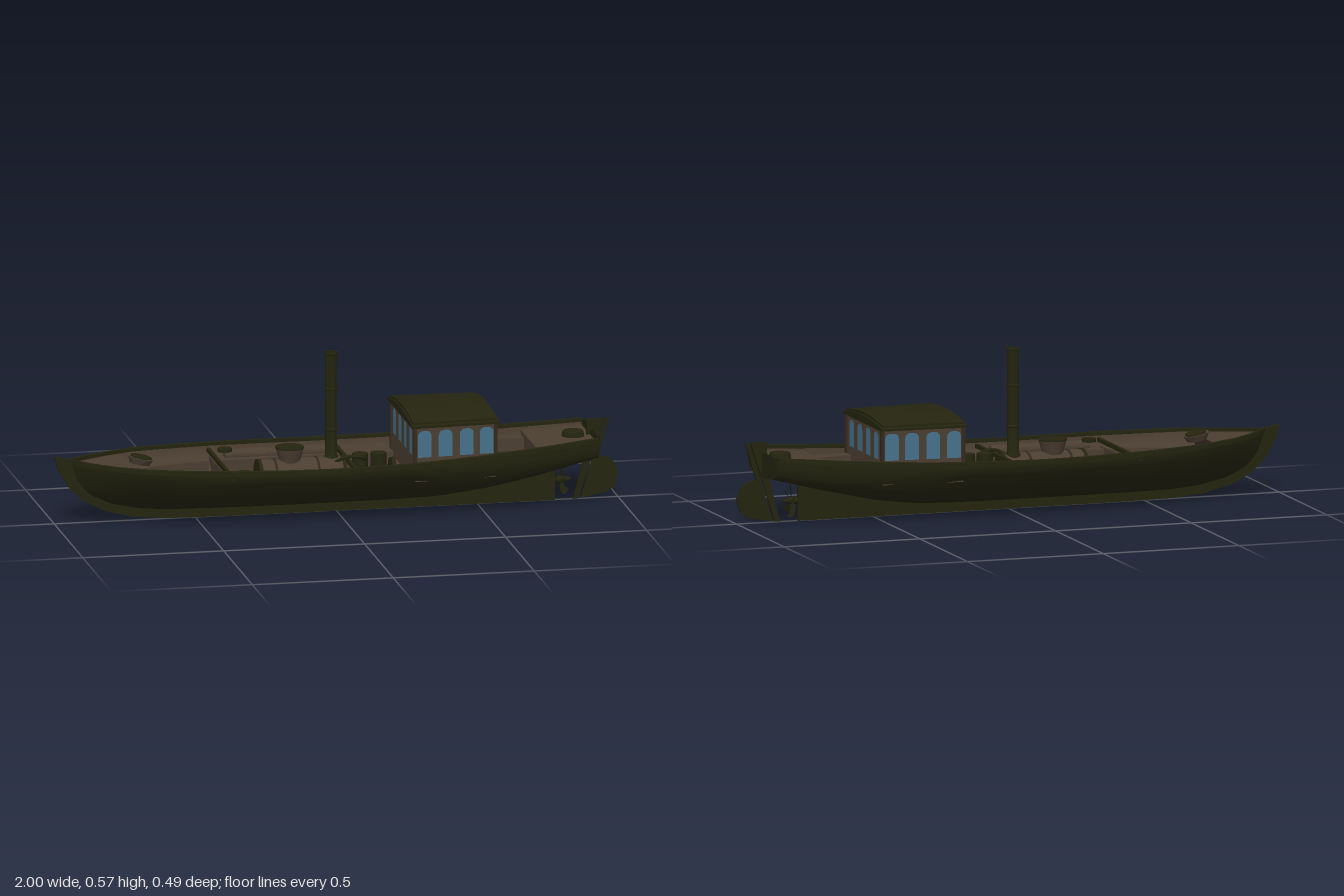
import * as THREE from 'three';
import { toCreasedNormals } from 'three/addons/utils/BufferGeometryUtils.js';

const paint = (name, color) => {
  const m = new THREE.MeshStandardMaterial({ color, side: THREE.DoubleSide });
  m.name = name;
  return m;
};

// Hull stations: x, keel height, half beam, sheer height
const STATIONS = [
  [-0.945, 0.205, 0.004, 0.226], [-0.92, 0.14, 0.03, 0.223], [-0.88, 0.095, 0.065, 0.22],
  [-0.8, 0.06, 0.12, 0.216], [-0.7, 0.04, 0.168, 0.214], [-0.6, 0.032, 0.196, 0.211],
  [-0.4, 0.03, 0.229, 0.207], [-0.2, 0.03, 0.241, 0.204], [-0.05, 0.03, 0.244, 0.203],
  [0.2, 0.031, 0.236, 0.206], [0.35, 0.037, 0.225, 0.211], [0.5, 0.058, 0.211, 0.218],
  [0.7, 0.106, 0.186, 0.231], [0.9, 0.16, 0.156, 0.246],
];
// Section shapes as fractions [beam, height] from keel to sheer
const MID = [[0, 0], [0.2, 0.06], [0.49, 0.2], [0.75, 0.43], [0.96, 0.74], [1, 0.92], [0.99, 1]];
const BOW = [[0, 0], [0.15, 0.08], [0.36, 0.25], [0.58, 0.45], [0.8, 0.68], [0.93, 0.86], [1, 1]];
const STERN = [[0, 0], [0.35, 0.03], [0.7, 0.1], [0.87, 0.2], [0.94, 0.38], [0.97, 0.65], [1, 1]];
const { clamp, lerp } = THREE.MathUtils;

function station(x) {
  let i = 0;
  while (i < STATIONS.length - 2 && x > STATIONS[i + 1][0]) i++;
  const a = STATIONS[i], b = STATIONS[i + 1], t = clamp((x - a[0]) / (b[0] - a[0]), 0, 1);
  return { keel: lerp(a[1], b[1], t), half: lerp(a[2], b[2], t), sheer: lerp(a[3], b[3], t) };
}
const sheer = (x) => station(x).sheer;

// Half section [z, y] at x, moved inward by inset
function section(x, inset = 0) {
  const s = station(x), bow = clamp((-0.5 - x) / 0.45, 0, 1), stern = clamp((x - 0.2) / 0.7, 0, 1);
  return MID.map((m, i) => {
    const f = [0, 1].map((k) => lerp(lerp(m[k], BOW[i][k], bow), STERN[i][k], stern));
    return [Math.max(0, f[0] * (s.half - inset)), lerp(s.keel, s.sheer, f[1]) + inset * (1 - f[1])];
  });
}
function halfAt(x, y) {
  const p = section(x, 0.008);
  for (let i = 1; i < p.length; i++) {
    if (y <= p[i][1]) return lerp(p[i - 1][0], p[i][0], clamp((y - p[i - 1][1]) / (p[i][1] - p[i - 1][1]), 0, 1));
  }
  return p[p.length - 1][0];
}

// Skin over rows of points, with optional flat ends
function loft(rows, caps = false, crease = 0) {
  const n = rows[0].length, idx = [];
  for (let j = 0; j < rows.length - 1; j++) {
    for (let i = 0; i < n - 1; i++) {
      const a = j * n + i, b = a + 1, c = a + n, d = c + 1;
      idx.push(a, c, b, b, c, d);
    }
  }
  if (caps) {
    const e = (rows.length - 1) * n;
    for (let i = 1; i < n - 1; i++) idx.push(0, i, i + 1, e, e + i + 1, e + i);
  }
  const g = new THREE.BufferGeometry();
  g.setAttribute('position', new THREE.Float32BufferAttribute(rows.flat(2), 3));
  g.setIndex(idx);
  g.computeVertexNormals();
  return crease ? toCreasedNormals(g, crease) : g;
}
const span = (x0, x1, n = 10) => Array.from({ length: n + 1 }, (_, i) => lerp(x0, x1, i / n));

export function createModel() {
  const root = new THREE.Group();
  const olive = paint('dark olive', 0x242410), timber = paint('brown timber', 0x4b3e31);
  const dark = paint('dark timber', 0x33281f), glass = paint('blue glass', 0x46718a);

  const add = (name, geo, mat, pos = [0, 0, 0], rot = [0, 0, 0], parent = root) => {
    const m = new THREE.Mesh(geo, mat);
    m.name = name;
    m.position.set(...pos);
    m.rotation.set(...rot);
    parent.add(m);
    return m;
  };
  const box = (name, mat, size, pos) => add(name, new THREE.BoxGeometry(...size), mat, pos);
  const cyl = (name, mat, r0, r1, h, pos, rot, sides = 24) =>
    add(name, new THREE.CylinderGeometry(r0, r1, h, sides), mat, pos, rot);
  const plate = (name, pts, depth, mat) => {
    const g = new THREE.ExtrudeGeometry(new THREE.Shape(pts.map((p) => new THREE.Vector2(...p))), { depth, bevelEnabled: false });
    return add(name, g.translate(0, 0, -depth / 2), mat);
  };

  // Hull shell, lining and gunwale
  const xs = [...span(-0.945, -0.7, 10), ...span(-0.68, 0.9, 30)];
  const full = (x, inset) => {
    const p = section(x, inset);
    return [...p.slice(1).reverse().map(([z, y]) => [x, y, -z]), ...p.map(([z, y]) => [x, y, z])];
  };
  add('hull', loft(xs.map((x) => full(x, 0))), olive);
  add('hullLining', loft(xs.map((x) => full(x, 0.01).reverse())), timber);
  const transom = full(0.9, 0).map(([x, y, z]) => [x + (y - 0.16) * 0.1 + 0.012 * (1 - (z / 0.156) ** 2), y, z]);
  add('transom', loft([full(0.9, 0), transom], true, 0.6), olive);
  for (const s of [1, -1]) {
    const rail = xs.map((x) => {
      const { half, sheer: y } = station(x), o = half + 0.003, i = Math.max(0, half - 0.014);
      const ring = [[i, y - 0.008], [o, y - 0.012], [o, y + 0.004], [i, y + 0.004], [i, y - 0.008]];
      return ring.map(([z, h]) => [x, h, z * s]);
    });
    add('gunwale', loft(rail, true, 0.6), olive);
  }
  // Keel with curved stem
  plate('keelAndStem', [[-1, 0.24], [-0.985, 0.19], [-0.95, 0.13], [-0.9, 0.08], [-0.82, 0.038], [-0.72, 0.013],
    [-0.6, 0.003], [-0.4, 0], [0.775, 0], [0.775, 0.13], [0.6, 0.09], [0.3, 0.045], [-0.6, 0.045], [-0.8, 0.075],
    [-0.89, 0.13], [-0.93, 0.19], [-0.945, 0.228]], 0.016, olive);

  // Decks, floors and benches follow the hull sides
  const deck = (name, x0, x1, yOf, mat) => add(name, loft(span(x0, x1).map((x) => {
    const y = yOf(x), w = halfAt(x, y);
    return [[x, y, w], [x, y, -w]];
  })), mat);
  const bulkhead = (name, x, y0, y1, mat) => add(name, loft([y0, y1].map((y) => {
    const w = halfAt(x, y);
    return [[x, y, -w], [x, y, w]];
  })), mat);
  const bench = (x0, x1, y, floor, width) => [1, -1].forEach((s) => {
    add('sideBench', loft(span(x0, x1).map((x) => {
      const w = halfAt(x, y);
      return [[x, y, s * w], [x, y, s * (w - width)], [x, floor, s * (w - width)]];
    }), false, 0.5), timber);
  });
  deck('foredeck', -0.94, -0.73, (x) => sheer(x) - 0.012, timber);
  bulkhead('foreBulkhead', -0.73, 0.09, 0.202, dark);
  deck('foreFloor', -0.73, -0.41, () => 0.1, dark);
  bench(-0.73, -0.42, 0.16, 0.1, 0.055);
  deck('engineFloor', -0.41, 0.235, () => 0.08, timber);
  bench(-0.4, 0.23, 0.165, 0.08, 0.085);
  deck('cabinFloor', 0.235, 0.54, () => 0.13, timber);
  deck('cockpitFloor', 0.53, 0.73, () => 0.15, dark);
  bench(0.53, 0.73, 0.195, 0.15, 0.06);
  deck('afterDeck', 0.69, 0.9, (x) => sheer(x) - 0.018, timber);
  bulkhead('afterBulkhead', 0.69, 0.15, 0.212, timber);
  bulkhead('midBulkhead', -0.41, 0.08, 0.165, timber);
  for (const x of [-0.41, 0.035]) box('crossBeam', olive, [0.012, 0.014, 0.45], [x, 0.185, 0]);
  for (const s of [1, -1]) {
    cyl('sideLocker', timber, 0.022, 0.022, 0.36, [-0.18, 0.17, s * 0.185], [0, 0, Math.PI / 2], 16);
    cyl('bunkerLid', olive, 0.025, 0.025, 0.012, [-0.36, 0.192, s * 0.175]);
  }

  // Tilted seat forward, round hatch aft
  cyl('foreSeat', timber, 0.046, 0.036, 0.022, [-0.695, 0.213, 0], [0, 0, -0.2]);
  cyl('foreSeatTop', olive, 0.038, 0.038, 0.005, [-0.692, 0.225, 0], [0, 0, -0.2]);
  cyl('afterHatch', olive, 0.036, 0.04, 0.018, [0.84, 0.235, 0]);

  // Boiler with steam dome
  const across = [0, 0, Math.PI / 2];
  cyl('boiler', timber, 0.068, 0.068, 0.29, [-0.125, 0.125, 0], across, 32);
  for (const x of [-0.274, 0.022]) cyl('boilerEnd', olive, 0.07, 0.07, 0.012, [x, 0.125, 0], across, 32);
  for (const x of [-0.22, -0.07]) cyl('boilerBand', dark, 0.07, 0.07, 0.008, [x, 0.125, 0], across, 32);
  cyl('boilerCradle', dark, 0.05, 0.06, 0.05, [-0.125, 0.085, 0]);
  cyl('steamDome', timber, 0.05, 0.036, 0.05, [-0.165, 0.208, 0]);
  cyl('steamDomeLid', olive, 0.05, 0.05, 0.005, [-0.165, 0.234, 0]);

  // Funnel
  const fp = [[0.03, 0.14], [0.03, 0.185], [0.021, 0.2], [0.021, 0.286], [0.023, 0.288], [0.023, 0.294], [0.021, 0.296],
    [0.021, 0.43], [0.023, 0.432], [0.023, 0.438], [0.021, 0.44], [0.021, 0.558], [0.024, 0.56], [0.024, 0.567],
    [0.018, 0.567], [0.018, 0.5], [0, 0.5]];
  const funnel = new THREE.LatheGeometry(fp.map((p) => new THREE.Vector2(...p)), 24);
  add('funnel', toCreasedNormals(funnel, 0.6), olive, [-0.016, 0, -0.007]);

  // Steam engine
  box('engineBed', olive, [0.16, 0.04, 0.1], [0.125, 0.1, 0]);
  for (const x of [0.085, 0.15]) {
    cyl('engineCylinder', olive, 0.028, 0.028, 0.05, [x, 0.175, 0]);
    for (const s of [1, -1]) cyl('engineColumn', olive, 0.006, 0.008, 0.07, [x, 0.135, s * 0.035], [s * 0.3, 0, 0], 8);
  }
  cyl('flywheel', olive, 0.05, 0.05, 0.014, [0.2, 0.13, 0], across);
  add('steamPipe', new THREE.TubeGeometry(new THREE.CatmullRomCurve3([[-0.01, 0.18, 0.03], [0.03, 0.2, 0.045],
    [0.08, 0.195, 0.04], [0.1, 0.18, 0.02]].map((p) => new THREE.Vector3(...p))), 16, 0.006, 8), olive);

  // Cabin walls and cambered roof
  const shellRow = (x, w, base, edge, crown) => {
    const top = span(1, -1, 12).map((t) => [x, edge + (crown - edge) * (1 - t * t), w * t]);
    return [[x, base, -w], [x, base, w], ...top, [x, base, -w]];
  };
  const X0 = 0.238, X1 = 0.528, W0 = 0.211, W1 = 0.19;
  add('cabin', loft([shellRow(X0, W0, 0.14, 0.335, 0.355), shellRow(X1, W1, 0.14, 0.335, 0.355)], true, 0.5), timber);
  add('roofEave', loft([shellRow(0.226, 0.221, 0.332, 0.341, 0.359), shellRow(0.537, 0.203, 0.332, 0.341, 0.359)], true, 0.5), olive);
  add('roof', loft([shellRow(0.232, 0.207, 0.338, 0.35, 0.368), shellRow(0.53, 0.19, 0.338, 0.35, 0.368)], true, 0.5), olive);
  for (const [x, w] of [[X0, W0], [X1, W1]]) {
    for (const s of [1, -1]) box('cornerPost', dark, [0.012, 0.18, 0.012], [x, 0.245, s * (w - 0.003)]);
  }

  // Round-topped windows
  const pane = (w, h) => {
    const a = w / 2, r = w * 0.45, s = new THREE.Shape();
    s.moveTo(-a, 0).lineTo(a, 0).lineTo(a, h - r);
    s.quadraticCurveTo(a, h, a - r, h).lineTo(-a + r, h).quadraticCurveTo(-a, h, -a, h - r);
    return new THREE.ShapeGeometry(s, 8);
  };
  const slope = Math.atan((W0 - W1) / (X1 - X0));
  for (const x of [0.272, 0.347, 0.423, 0.495]) {
    const z = lerp(W0, W1, (x - X0) / (X1 - X0)) + 0.002;
    add('sideWindow', pane(0.05, 0.095), glass, [x, 0.226, z], [0, slope, 0]);
    add('sideWindow', pane(0.05, 0.095), glass, [x, 0.226, -z], [0, Math.PI - slope, 0]);
  }
  for (const z of [-0.128, -0.043, 0.043, 0.128]) {
    add('afterWindow', pane(0.049, 0.095), glass, [X1 + 0.002, 0.225, z], [0, Math.PI / 2, 0]);
    add('foreWindow', pane(0.049, 0.095), glass, [X0 - 0.002, 0.225, z * 1.1], [0, -Math.PI / 2, 0]);
  }

  // Sternpost and rudder
  plate('sternpost', [[0.84, 0], [0.86, 0.002], [0.948, 0.284], [0.89, 0.284], [0.885, 0.17]], 0.01, olive);
  plate('rudder', [[0.867, 0.003], [0.96, 0.02], [0.988, 0.04], [1, 0.09], [0.985, 0.125], [0.965, 0.143],
    [0.929, 0.152], [0.968, 0.284], [0.954, 0.284]], 0.009, olive);

  // Propeller
  const propeller = new THREE.Group();
  propeller.name = 'propeller';
  propeller.position.set(0.8, 0.072, 0);
  root.add(propeller);
  add('propellerHub', new THREE.CylinderGeometry(0.01, 0.014, 0.04, 16), olive, [0, 0, 0], [0, 0, -Math.PI / 2], propeller);
  const blade = new THREE.Shape();
  blade.moveTo(-0.006, 0.005).quadraticCurveTo(-0.026, 0.035, 0.004, 0.06);
  blade.quadraticCurveTo(0.026, 0.058, 0.032, 0.044).quadraticCurveTo(0.006, 0.04, 0.007, 0.005);
  for (let k = 0; k < 5; k++) {
    const arm = new THREE.Group();
    arm.rotation.x = (k * 2 * Math.PI) / 5;
    propeller.add(arm);
    add('propellerBlade', new THREE.ShapeGeometry(blade, 8), olive, [0, 0, 0], [0, Math.PI / 2 - 0.5, 0], arm);
  }
  cyl('propellerShaft', olive, 0.007, 0.007, 0.17, [0.745, 0.072, 0], across, 12);
  return root;
}
